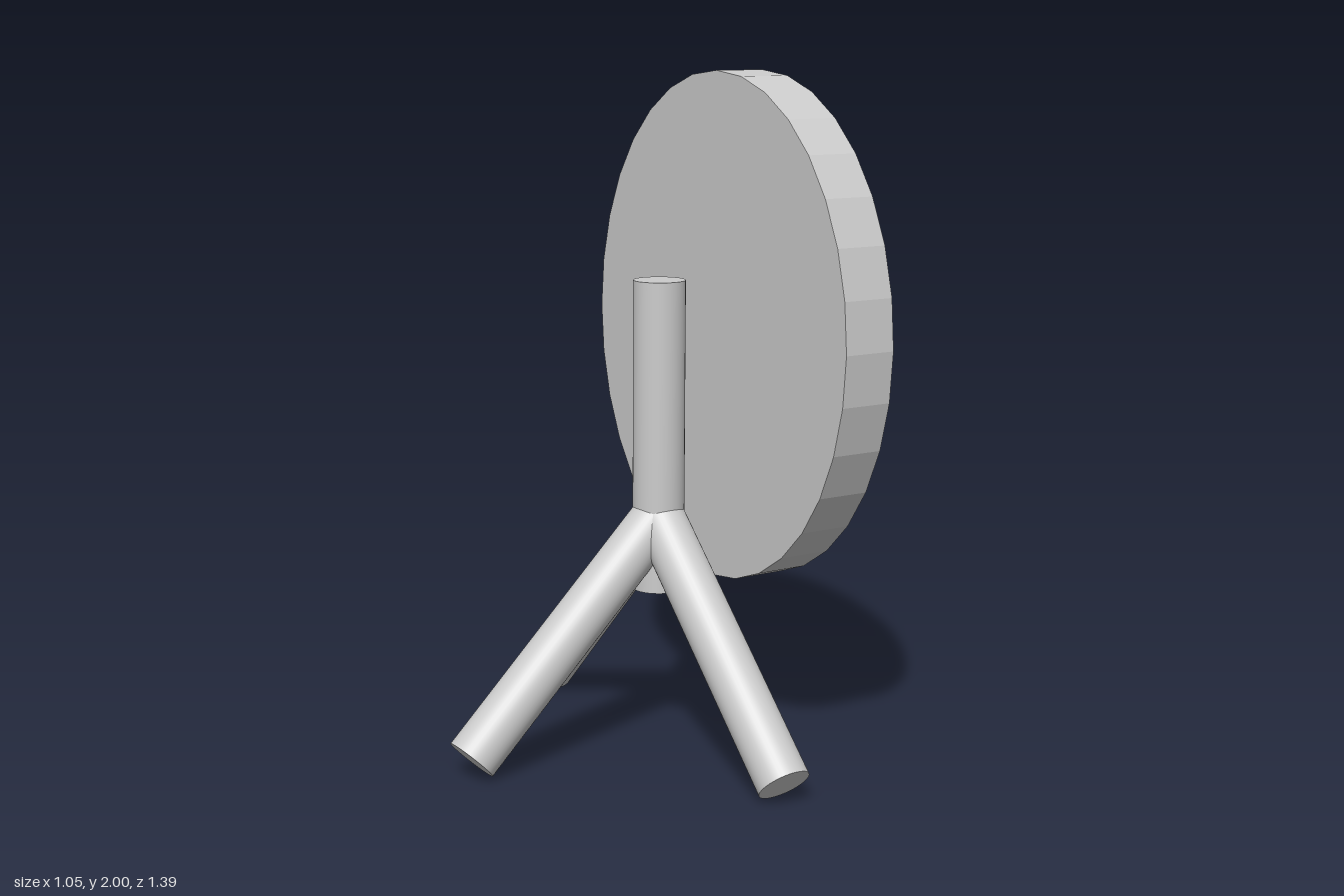
import * as THREE from 'three';

const R = 0.077; // tube radius of the stand
const POST_X = 0.165;

export function createModel() {
  const model = new THREE.Group();
  const smooth = new THREE.MeshStandardMaterial({ color: 0xcccccc });
  const faceted = new THREE.MeshStandardMaterial({ color: 0xcccccc, flatShading: true });

  // Round tube between two points
  const tube = (name, from, to) => {
    const dir = to.clone().sub(from);
    const mesh = new THREE.Mesh(new THREE.CylinderGeometry(R, R, dir.length(), 40), smooth);
    mesh.position.copy(from).addScaledVector(dir, 0.5);
    mesh.quaternion.setFromUnitVectors(new THREE.Vector3(0, 1, 0), dir.normalize());
    mesh.name = name;
    model.add(mesh);
  };

  // Upright post
  tube('post', new THREE.Vector3(POST_X, 0.475, 0), new THREE.Vector3(POST_X, 1.4, 0));

  // Three legs splayed at 45 degrees
  const hub = new THREE.Vector3(POST_X, 0.694, 0);
  const reach = 0.64;
  for (const [name, dx, dz] of [['sideLeg', -1, 0], ['frontLeg', 0, 1], ['backLeg', 0, -1]]) {
    tube(name, new THREE.Vector3(POST_X + dx * reach, hub.y - reach, dz * reach), hub);
  }

  // Faceted oval disc with a thin raised rim on its outer face
  const r = 0.757, h = 0.0825, lip = 0.013, recess = 0.01;
  const profile = [
    [0, -h], [r, -h], [r, h], [r - lip, h], [r - lip, h - recess], [0, h - recess],
  ].map(([x, y]) => new THREE.Vector2(x, y));
  const oval = new THREE.LatheGeometry(profile, 32);
  oval.rotateZ(-Math.PI / 2);
  oval.scale(1, 1, 0.835);
  const disc = new THREE.Mesh(oval, faceted);
  disc.position.set(0.4425, 1.243, 0);
  disc.name = 'ovalDisc';
  model.add(disc);

  return model;
}
